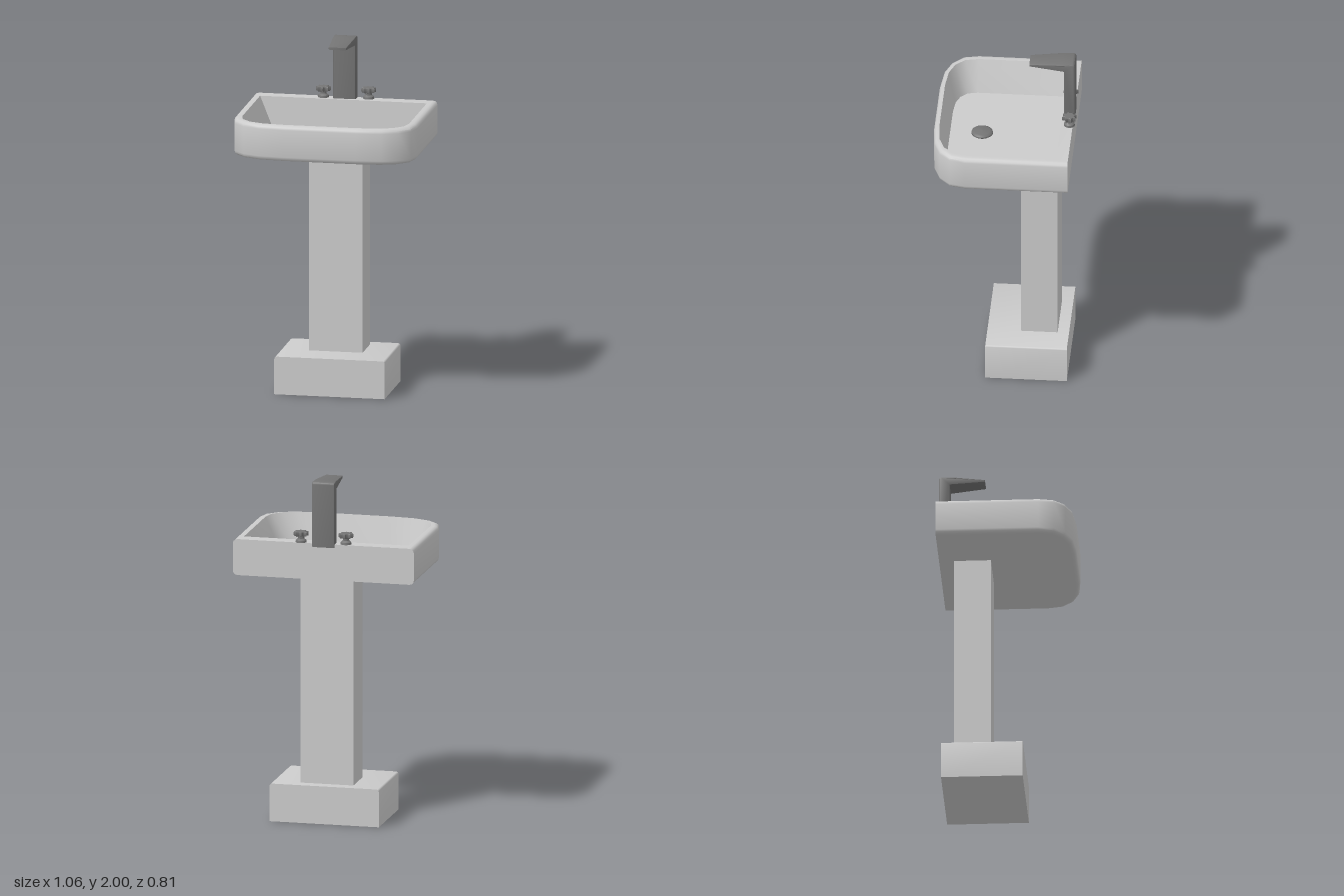
import * as THREE from 'three';
import { toCreasedNormals } from 'three/addons/utils/BufferGeometryUtils.js';

const ceramic = new THREE.MeshStandardMaterial({ color: 0xcccccc });
const metal = new THREE.MeshStandardMaterial({ color: 0x747474 });

function part(name, geometry, material, x = 0, y = 0, z = 0) {
  const mesh = new THREE.Mesh(geometry, material);
  mesh.name = name;
  mesh.position.set(x, y, z);
  return mesh;
}

// D-shaped outline: square back corners, rounded front corners
function outline(halfWidth, front, back, y) {
  const corner = [[1, 0], [0.94, 0.44], [0.75, 0.75], [0.46, 0.93], [0, 1]];
  const right = [[halfWidth, back]];
  for (const [u, v] of corner) right.push([0.21 + (halfWidth - 0.21) * u, 0.2 + (front - 0.2) * v]);
  const left = right.map(([x, z]) => [-x, z]).reverse();
  return [...right, ...left].map(([x, z]) => [x, y, z]);
}

// Skins a stack of loops, closing the first and last with flat caps
function loft(loops) {
  const n = loops[0].length;
  const index = [];
  for (let k = 0; k < loops.length - 1; k++) {
    for (let i = 0; i < n; i++) {
      const j = (i + 1) % n;
      const a = k * n + i, b = k * n + j;
      index.push(a, a + n, b + n, a, b + n, b);
    }
  }
  const last = (loops.length - 1) * n;
  for (let i = 1; i < n - 1; i++) {
    index.push(0, i, i + 1);
    index.push(last, last + i + 1, last + i);
  }
  const geometry = new THREE.BufferGeometry();
  geometry.setAttribute('position', new THREE.Float32BufferAttribute(loops.flat(2), 3));
  geometry.setIndex(index);
  return toCreasedNormals(geometry, 0.65);
}

function basinGeometry() {
  const loops = [];
  const r = 0.026, steps = 3, back = -0.385;
  // rounded lower edge, then rounded upper edge
  for (const [y, from] of [[1.43 + r, -Math.PI / 2], [1.64 - r, 0]]) {
    for (let i = 0; i <= steps; i++) {
      const a = from + (i / steps) * Math.PI / 2;
      const inset = r * (1 - Math.cos(a));
      loops.push(outline(0.53 - inset, 0.4 - inset, back, y + r * Math.sin(a)));
    }
  }
  // bowl: inner rim and floor
  loops.push(outline(0.483, 0.37, -0.31, 1.64));
  loops.push(outline(0.407, 0.325, -0.295, 1.46));
  return loft(loops);
}

// Plinth with softened upper side edges
function plinthGeometry() {
  const w = 0.32, h = 0.22, r = 0.018;
  const shape = new THREE.Shape();
  shape.moveTo(-w, 0);
  shape.lineTo(w, 0);
  shape.lineTo(w, h - r);
  shape.quadraticCurveTo(w, h, w - r, h);
  shape.lineTo(-w + r, h);
  shape.quadraticCurveTo(-w, h, -w, h - r);
  const geometry = new THREE.ExtrudeGeometry(shape, { depth: 0.465, bevelEnabled: false, curveSegments: 4 });
  geometry.translate(0, 0, -0.365);
  return toCreasedNormals(geometry, 0.6);
}

// Side profile of column and spout, extruded across and tapered to the tip
function tapGeometry() {
  const halfWidth = 0.066, bevel = 0.006;
  const shape = new THREE.Shape();
  shape.moveTo(-0.39, 1.62);
  shape.lineTo(-0.33, 1.62);
  shape.lineTo(-0.33, 1.952);
  shape.lineTo(-0.13, 1.97);
  shape.lineTo(-0.13, 1.984);
  shape.lineTo(-0.32, 2.0);
  shape.lineTo(-0.375, 2.0);
  shape.quadraticCurveTo(-0.39, 2.0, -0.39, 1.985);
  const geometry = new THREE.ExtrudeGeometry(shape, {
    depth: 2 * (halfWidth - bevel), bevelThickness: bevel, bevelSize: bevel,
    bevelOffset: -bevel, bevelSegments: 2, curveSegments: 4,
  });
  geometry.rotateY(-Math.PI / 2);
  geometry.translate(halfWidth - bevel, 0, 0);
  const p = geometry.attributes.position;
  for (let i = 0; i < p.count; i++) {
    const t = Math.max(0, (p.getZ(i) + 0.34) / 0.21);
    p.setX(i, p.getX(i) * (1 - 0.23 * t));
  }
  return toCreasedNormals(geometry, 0.6);
}

// Tap handle: flared foot below an eight-pointed grip
function handle(name, x, z, turn) {
  const group = new THREE.Group();
  group.name = name;
  group.position.set(x, 1.64, z);
  group.rotation.y = turn;
  const foot = [[0, 0], [0.032, 0], [0.03, 0.012], [0.018, 0.022], [0.018, 0.04]];
  group.add(part('handleFoot', toCreasedNormals(
    new THREE.LatheGeometry(foot.map(([r, y]) => new THREE.Vector2(r, y)), 16), 0.6), metal));
  const star = new THREE.Shape();
  for (let i = 0; i < 32; i++) {
    const a = (i / 32) * Math.PI * 2;
    const r = i % 4 === 0 ? 0.037 : 0.026;
    star[i ? 'lineTo' : 'moveTo'](r * Math.cos(a), r * Math.sin(a));
  }
  const grip = new THREE.ExtrudeGeometry(star, {
    depth: 0.012, bevelThickness: 0.008, bevelSize: 0.004, bevelSegments: 2,
  });
  grip.rotateX(-Math.PI / 2);
  group.add(part('handleGrip', toCreasedNormals(grip, 0.5), metal, 0, 0.044, 0));
  return group;
}

export function createModel() {
  const model = new THREE.Group();
  model.name = 'pedestalSink';
  model.add(part('plinth', plinthGeometry(), ceramic));
  model.add(part('pedestalColumn', new THREE.BoxGeometry(0.31, 1.23, 0.21), ceramic, 0, 0.825, -0.195));
  model.add(part('basin', basinGeometry(), ceramic));
  model.add(part('tap', tapGeometry(), metal));
  model.add(handle('rightHandle', -0.125, -0.355, 0.1));
  model.add(handle('leftHandle', 0.135, -0.365, 0.3));

  // Domed drain plug
  const plug = [[0.05, 0], [0.062, 0.01], [0.06, 0.018], [0.045, 0.025], [0, 0.03]];
  model.add(part('drainPlug', new THREE.LatheGeometry(
    plug.map(([r, y]) => new THREE.Vector2(r, y)), 32), metal, 0, 1.458, 0.142));
  return model;
}
